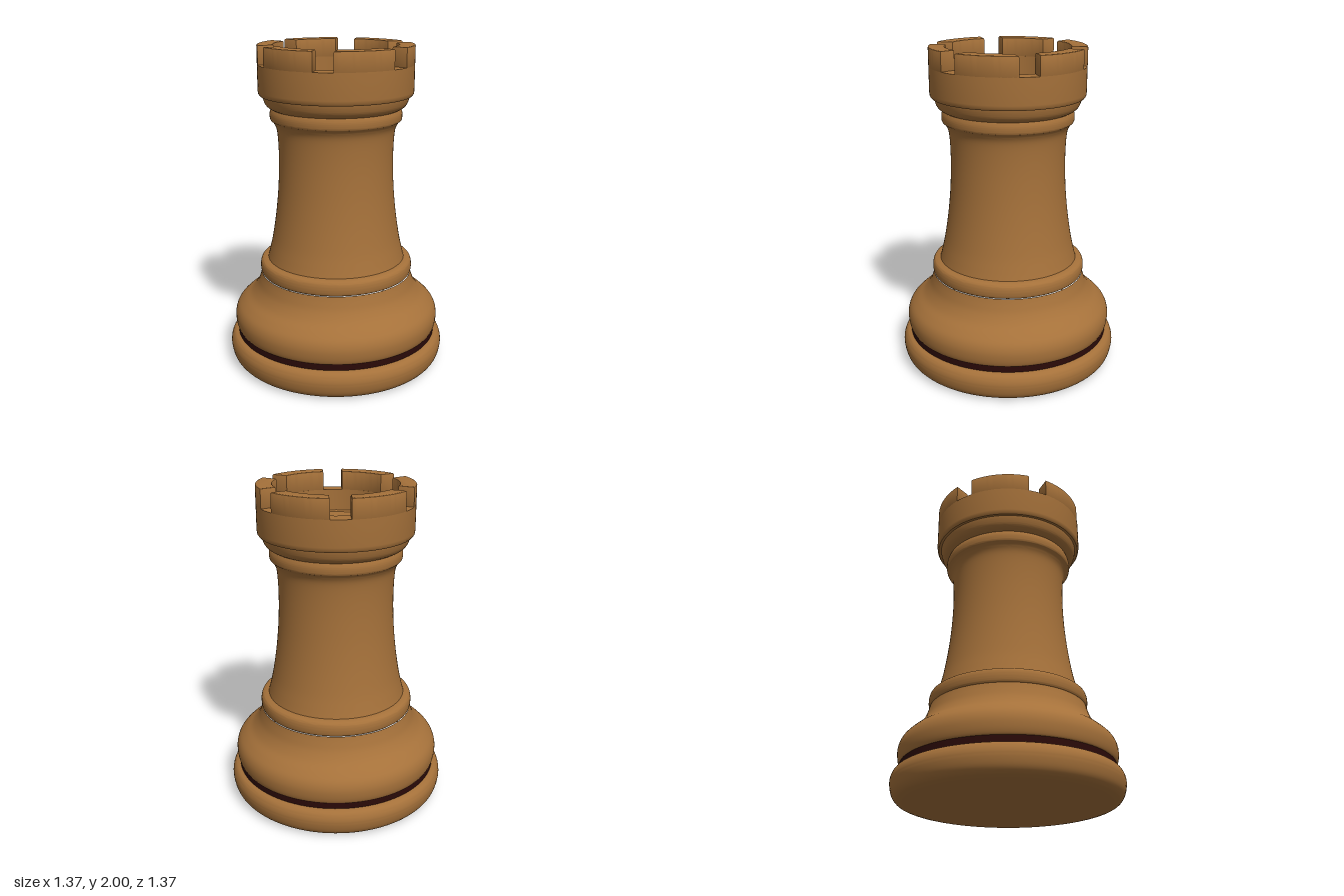
import * as THREE from 'three';
import { toCreasedNormals } from 'three/addons/utils/BufferGeometryUtils.js';

const wood = new THREE.MeshStandardMaterial({ color: 0xa5713a });
wood.name = 'wood';
const darkBand = new THREE.MeshStandardMaterial({ color: 0x2a0a08 });
darkBand.name = 'dark band';

const SEGMENTS = 96;
const OUTER = 0.472, INNER = 0.373, NOTCH_HALF = 0.059;
const NOTCH_Y = 1.885, TOP_Y = 2, FLOOR_Y = 1.745;

// Turned part from [radius, height] pairs; smooth parts run through a spline
function turned(name, profile, material = wood, smooth = true) {
  let points = profile.map(([r, y]) => new THREE.Vector2(r, y));
  if (smooth) points = new THREE.SplineCurve(points).getPoints(points.length * 4);
  const geometry = toCreasedNormals(new THREE.LatheGeometry(points, SEGMENTS), 0.7);
  const mesh = new THREE.Mesh(geometry, material);
  mesh.name = name;
  return mesh;
}

// One battlement block: a ring sector whose ends are parallel to the notch
function merlonGeometry() {
  const bevel = 0.008;
  const outerAngle = Math.PI / 6 - Math.asin(NOTCH_HALF / OUTER);
  const innerAngle = Math.PI / 6 - Math.asin(NOTCH_HALF / INNER);
  const shape = new THREE.Shape();
  shape.absarc(0, 0, OUTER, -outerAngle, outerAngle, false);
  shape.absarc(0, 0, INNER, innerAngle, -innerAngle, true);
  shape.closePath();
  const geometry = new THREE.ExtrudeGeometry(shape, {
    depth: TOP_Y - NOTCH_Y - bevel,
    curveSegments: 14,
    bevelThickness: bevel,
    bevelSize: bevel,
    bevelOffset: -bevel,
    bevelSegments: 2,
  });
  geometry.rotateX(-Math.PI / 2);
  geometry.translate(0, NOTCH_Y, 0);
  return toCreasedNormals(geometry, 0.6);
}

export function createModel() {
  const model = new THREE.Group();
  model.name = 'rook';

  // Foot, band and bulging base
  model.add(turned('underside', [[0, 0], [0.61, 0]].reverse().map(([r, y]) => [r, y]).reverse(), wood, false));
  model.add(turned('foot', [
    [0.61, 0], [0.648, 0.012], [0.674, 0.045], [0.686, 0.1],
    [0.681, 0.14], [0.662, 0.17], [0.63, 0.18],
  ]));
  model.add(turned('band', [[0.636, 0.176], [0.636, 0.218]], darkBand, false));
  model.add(turned('base', [
    [0.625, 0.214], [0.64, 0.222], [0.65, 0.26], [0.65, 0.31], [0.633, 0.355], [0.595, 0.395],
    [0.545, 0.435], [0.508, 0.485], [0.488, 0.535], [0.476, 0.575],
  ]));

  // Ring at the foot of the shaft
  model.add(turned('lowerRing', [
    [0.46, 0.574], [0.476, 0.58], [0.482, 0.605], [0.481, 0.635], [0.472, 0.658], [0.45, 0.668], [0.42, 0.672],
  ]));

  // Tapering shaft
  model.add(turned('shaft', [
    [0.434, 0.665], [0.42, 0.72], [0.4, 0.81], [0.378, 0.95], [0.362, 1.1],
    [0.354, 1.25], [0.354, 1.38], [0.361, 1.48], [0.376, 1.525], [0.396, 1.55],
  ]));

  // Two collars under the turret
  model.add(turned('lowerCollar', [
    [0.37, 1.546], [0.398, 1.55], [0.404, 1.575], [0.402, 1.6], [0.392, 1.625],
  ]));
  model.add(turned('upperCollar', [
    [0.39, 1.618], [0.415, 1.632], [0.432, 1.652], [0.442, 1.68], [0.447, 1.705],
  ]));

  // Hollow turret wall with its inner floor
  model.add(turned('turret', [
    [0.43, 1.7], [0.462, 1.701], [0.47, 1.712], [OUTER, 1.73], [OUTER, NOTCH_Y],
    [INNER, NOTCH_Y], [INNER, FLOOR_Y + 0.01], [INNER - 0.01, FLOOR_Y], [0, FLOOR_Y],
  ], wood, false));

  // Six battlements
  const battlements = new THREE.Group();
  battlements.name = 'battlements';
  const geometry = merlonGeometry();
  for (let i = 0; i < 6; i++) {
    const merlon = new THREE.Mesh(geometry, wood);
    merlon.name = 'merlon' + (i + 1);
    merlon.rotation.y = (i * Math.PI) / 3;
    battlements.add(merlon);
  }
  model.add(battlements);

  return model;
}
